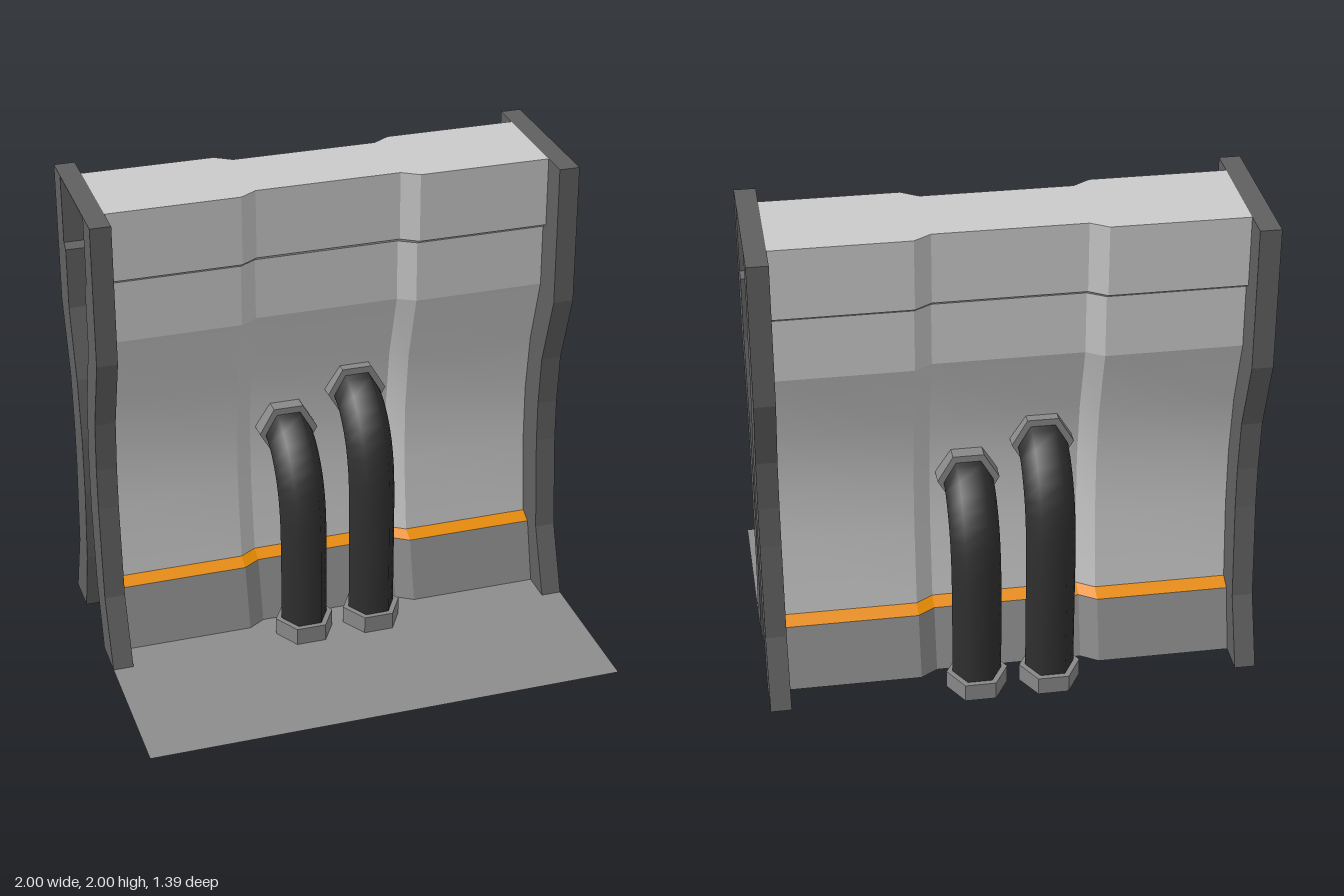
import * as THREE from 'three';
import { toCreasedNormals } from 'three/addons/utils/BufferGeometryUtils.js';

const mat = (name, color) => {
  const m = new THREE.MeshStandardMaterial({ color, side: THREE.DoubleSide });
  m.name = name;
  return m;
};

// Sheet lofted across x; each row is [z of the sides, z of the recessed middle, y]
function sheet(rows, halfWidth) {
  const xs = [-halfWidth, -0.37, -0.3, 0.3, 0.37, halfWidth];
  const pos = [], idx = [];
  for (const [side, middle, y] of rows)
    xs.forEach((x, i) => pos.push(x, y, i === 2 || i === 3 ? middle : side));
  for (let r = 0; r < rows.length - 1; r++)
    for (let i = 0; i < xs.length - 1; i++) {
      const a = r * xs.length + i, b = a + xs.length;
      idx.push(a, b, b + 1, a, b + 1, a + 1);
    }
  const g = new THREE.BufferGeometry();
  g.setAttribute('position', new THREE.Float32BufferAttribute(pos, 3));
  g.setIndex(idx);
  g.computeVertexNormals();
  return toCreasedNormals(g, 0.24);
}

export function createModel() {
  const lightPanel = mat('light panel grey', 0xcacaca);
  const baseGrey = mat('base grey', 0x8c8c8c);
  const frameGrey = mat('frame dark grey', 0x606060);
  const pipeBlack = mat('pipe black', 0x303030);
  const collarGrey = mat('collar grey', 0x888888);
  const orange = mat('orange trim', 0xf09000);

  const model = new THREE.Group();
  const add = (parent, name, geometry, material, x = 0, y = 0, z = 0) => {
    const mesh = new THREE.Mesh(geometry, material);
    mesh.name = name;
    mesh.position.set(x, y, z);
    parent.add(mesh);
  };

  const HALF = 0.915, MID = -0.3;
  const wallRows = [
    [-0.09, -0.135, 2], [-0.09, -0.135, 1.71], [-0.12, -0.162, 1.69], [-0.12, -0.162, 1.43],
    [-0.205, -0.25, 1.14], [-0.24, -0.288, 0.88], [-0.24, -0.288, 0.62], [-0.205, -0.25, 0.29],
  ];
  const trimRows = [[-0.205, -0.25, 0.29], [-0.15, -0.195, 0.265]];
  const skirtRows = [[-0.15, -0.195, 0.265], [-0.085, -0.13, 0]];

  // Post cross-section: curved outer face, inner face following the wall
  const post = new THREE.Shape([
    [0.03, 2], [0.03, 1.41], [-0.07, 1.1], [-0.09, 0.88], [-0.09, 0.7], [-0.055, 0.29], [0.05, 0],
    [-0.125, 0], [-0.205, 0.29], [-0.24, 0.62], [-0.24, 0.88], [-0.205, 1.14],
    [-0.12, 1.43], [-0.12, 1.69], [-0.09, 1.71], [-0.09, 2],
  ].map(([z, y]) => new THREE.Vector2(-z, y)));
  const postGeo = new THREE.ExtrudeGeometry(post, { depth: 1 - HALF, bevelEnabled: false });
  postGeo.rotateY(Math.PI / 2);

  const collar = (length) => toCreasedNormals(
    new THREE.CylinderGeometry(0.125, 0.125, length, 6).rotateY(Math.PI / 2), 0.5);
  const footCollar = collar(0.075);
  const wallCollar = collar(0.08).rotateX(Math.PI / 2);

  // Six-sided pipe rising from the ground and bending into the wall at height h
  const pipe = (h) => {
    const path = new THREE.CatmullRomCurve3([
      [0.01, -0.01], [h - 0.37, -0.01], [h - 0.26, -0.022], [h - 0.15, -0.058],
      [h - 0.06, -0.125], [h - 0.015, -0.19], [h, -0.26],
    ].map(([y, z]) => new THREE.Vector3(0, y, z)));
    return new THREE.TubeGeometry(path, 20, 0.1, 6);
  };

  // One face of the barrier, used twice back to back
  function buildSide(name) {
    const side = new THREE.Group();
    side.name = name;
    add(side, 'wallPanel', sheet(wallRows, HALF), lightPanel);
    add(side, 'orangeTrim', sheet(trimRows, HALF), orange);
    add(side, 'skirtPanel', sheet(skirtRows, HALF), baseGrey);
    add(side, 'leftPost', postGeo, frameGrey, HALF);
    add(side, 'rightPost', postGeo, frameGrey, -1);
    for (const [x, h] of [[-0.152, 0.86], [0.147, 1.0]]) {
      add(side, 'pipe', pipe(h), pipeBlack, x);
      add(side, 'footCollar', footCollar, collarGrey, x, 0.0375, -0.01);
      add(side, 'wallCollar', wallCollar, collarGrey, x, h, -0.255);
    }
    model.add(side);
    return side;
  }
  buildSide('frontSide');
  const back = buildSide('backSide');
  back.rotation.y = Math.PI;
  back.position.z = 2 * MID;

  // Top cap, end strips joining the posts, and the ground plate
  add(model, 'topCap', sheet([[-0.51, -0.465, 2], [-0.09, -0.135, 2]], HALF), lightPanel);
  for (const s of [-1, 1])
    add(model, 'topEndStrip', new THREE.BoxGeometry(1 - HALF, 0.004, 0.66), frameGrey,
      s * (1 + HALF) / 2, 1.998, MID);
  add(model, 'groundPlate', sheet([[-0.085, -0.13, 0], [0.695, 0.695, 0]], 1), baseGrey);

  return model;
}
